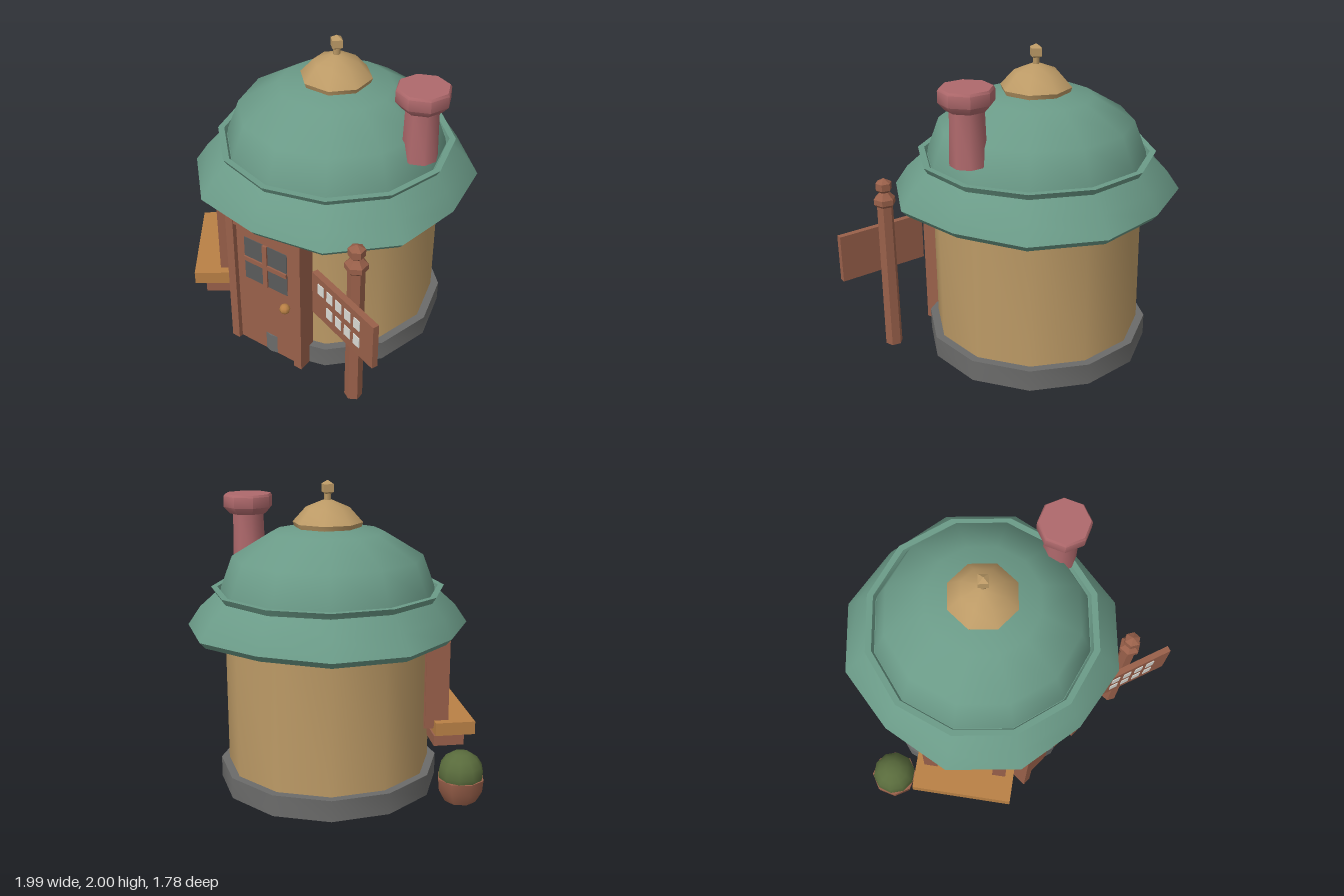
import * as THREE from 'three';
import { toCreasedNormals } from 'three/addons/utils/BufferGeometryUtils.js';

const mat = (name, color, side = THREE.FrontSide) => {
  const m = new THREE.MeshStandardMaterial({ color, side });
  m.name = name;
  return m;
};

export function createModel() {
  const model = new THREE.Group();
  model.name = 'roundCottage';
  const wall = mat('tan', 0xbc9a66), roof = mat('green', 0x6b9b88, THREE.DoubleSide);
  const wood = mat('brown', 0x99604a), ochre = mat('ochre', 0xb98045);
  const stone = mat('grey', 0x6b6b6a), glass = mat('darkGlass', 0x5a5b5b);
  const white = mat('white', 0xdcdcd6), brick = mat('rose', 0xaf696c), leaf = mat('leaf', 0x596b3c);

  const add = (parent, name, geo, material, x = 0, y = 0, z = 0) => {
    const m = new THREE.Mesh(geo, material);
    m.name = name;
    m.position.set(x, y, z);
    parent.add(m);
    return m;
  };
  // box given by its extents
  const box = (parent, name, material, x0, x1, y0, y1, z0, z1) =>
    add(parent, name, new THREE.BoxGeometry(x1 - x0, y1 - y0, z1 - z0), material,
      (x0 + x1) / 2, (y0 + y1) / 2, (z0 + z1) / 2);
  // turned shape from [radius, height] points, bottom to top
  const turned = (pts, sides, crease = 0.65, start = 0) => toCreasedNormals(
    new THREE.LatheGeometry(pts.map(p => new THREE.Vector2(...p)), sides, start), crease);

  // --- round house body ---
  const house = new THREE.Group();
  house.name = 'house';
  house.position.set(0.09, 0, -0.025);
  model.add(house);
  add(house, 'stoneBase', turned([[0, 0], [0.725, 0], [0.725, 0.14], [0.6, 0.14]], 12), stone);
  add(house, 'wall', turned([[0.672, 0.12], [0.672, 1.12]], 12), wall);

  // roof skirt: the eave corners between the axes bulge outwards
  const skirt = new THREE.LatheGeometry([
    [0.64, 1.12], [0.74, 1.08], [0.83, 1.03], [0.865, 1.07], [0.81, 1.19],
    [0.73, 1.28], [0.755, 1.32], [0.715, 1.32], [0.7, 1.28], [0.66, 1.28],
  ].map(p => new THREE.Vector2(...p)), 12);
  const pos = skirt.attributes.position;
  for (let i = 0; i < pos.count; i++) {
    const x = pos.getX(i), z = pos.getZ(i), y = pos.getY(i);
    const corner = Math.abs(Math.sin(2 * Math.atan2(x, z))) > 0.5 ? 1 : 0;
    const k = 1 + 0.053 * corner * THREE.MathUtils.clamp((1.28 - y) / 0.2, 0, 1);
    pos.setX(i, x * k);
    pos.setZ(i, z * k);
  }
  add(house, 'roofSkirt', toCreasedNormals(skirt, 0.75), roof);
  add(house, 'roofDome', turned([[0.7, 1.26], [0.69, 1.32], [0.615, 1.52], [0.36, 1.675], [0.1, 1.715], [0, 1.72]], 12, 0.85), roof);

  // roof finial
  add(house, 'finialCap', turned([[0, 1.69], [0.215, 1.705], [0.226, 1.735], [0.14, 1.83], [0.03, 1.875], [0, 1.875]], 8, 0.8, Math.PI / 8), wall);
  add(house, 'finialStem', new THREE.CylinderGeometry(0.022, 0.022, 0.08, 6), wall, 0, 1.89, 0);
  add(house, 'finialBall', toCreasedNormals(new THREE.SphereGeometry(0.052, 4, 3), 0.5), wall, 0, 1.95, 0)
    .scale.y = 0.96;

  // --- chimney ---
  add(model, 'chimneyShaft', turned([[0, 1.41], [0.112, 1.41], [0.102, 1.77]], 8, 0.9), brick, 0.725, 0, 0.025);
  add(model, 'chimneyCap', turned([[0, 1.745], [0.125, 1.745], [0.165, 1.79], [0.165, 1.86], [0.155, 1.875], [0, 1.875]], 8, 0.8), brick, 0.725, 0, 0.025);

  // --- front door ---
  const door = new THREE.Group();
  door.name = 'door';
  model.add(door);
  box(door, 'doorPanel', wood, -0.17, 0.3, 0, 0.96, 0.59, 0.688);
  box(door, 'doorFrameRight', wood, -0.22, -0.162, 0, 1.0, 0.59, 0.72);
  box(door, 'doorFrameLeft', wood, 0.292, 0.35, 0, 1.0, 0.59, 0.72);
  box(door, 'doorLintel', wood, -0.2, 0.33, 0.945, 0.995, 0.59, 0.715);
  box(door, 'doorGlass', glass, -0.1, 0.23, 0.54, 0.86, 0.686, 0.692);
  box(door, 'doorMuntinVertical', wood, 0.048, 0.082, 0.54, 0.86, 0.688, 0.703);
  box(door, 'doorMuntinHorizontal', wood, -0.1, 0.23, 0.683, 0.715, 0.688, 0.703);
  add(door, 'doorKnob', new THREE.SphereGeometry(0.035, 8, 6), ochre, 0.225, 0.45, 0.715);

  // --- bay window, local +z pointing out of the wall ---
  const bay = new THREE.Group();
  bay.name = 'bayWindow';
  bay.rotation.y = -0.945;
  house.add(bay);
  box(bay, 'bayBody', wood, -0.27, 0.27, 0.4, 1.07, 0.58, 0.7);
  box(bay, 'bayGlass', glass, -0.2, 0.2, 0.46, 1.0, 0.698, 0.704);
  for (const s of [-1, 1]) {
    box(bay, 'bayPost', wood, s * 0.235 - 0.045, s * 0.235 + 0.045, 0.42, 1.06, 0.6, 0.755);
    box(bay, 'curtain', white, s * 0.145 - 0.05, s * 0.145 + 0.05, 0.46, 1.0, 0.702, 0.709);
  }
  box(bay, 'bayTopRail', wood, -0.27, 0.27, 1.0, 1.06, 0.6, 0.75);
  box(bay, 'bayMuntinVertical', wood, -0.025, 0.025, 0.46, 1.0, 0.7, 0.73);
  for (const y of [0.65, 0.82]) box(bay, 'bayMuntinHorizontal', wood, -0.22, 0.22, y - 0.015, y + 0.015, 0.7, 0.74);
  box(bay, 'windowLedge', ochre, -0.335, 0.335, 0.37, 0.457, 0.66, 0.922);
  box(bay, 'ledgeSupport', wood, -0.33, 0.33, 0.3, 0.37, 0.65, 0.85);

  // --- signpost ---
  const sign = new THREE.Group();
  sign.name = 'signpost';
  sign.position.set(0.735, 0, 0.695);
  model.add(sign);
  add(sign, 'post', turned([[0, 0], [0.056, 0], [0.052, 1.0]], 6, 0.4), wood);
  add(sign, 'postCollar', turned([[0.05, 0.99], [0.07, 1.01], [0.07, 1.045], [0.045, 1.07], [0.03, 1.09]], 6, 0.4), wood);
  add(sign, 'postKnob', turned([[0.025, 1.08], [0.052, 1.105], [0.052, 1.15], [0, 1.18]], 6, 0.4), wood);
  const board = new THREE.Group();
  board.name = 'signBoard';
  board.position.set(-0.027, 0, 0.077);
  board.rotation.y = -0.335;
  sign.add(board);
  box(board, 'boardPlank', wood, -0.295, 0.295, 0.52, 0.83, -0.02, 0.02);
  // plain pale tiles in two rows
  for (let row = 0; row < 2; row++) for (let i = row; i < 5; i++) {
    const x = -0.203 + i * 0.0875, y = row ? 0.622 : 0.748;
    box(board, 'boardTile', white, x - 0.028, x + 0.028, y - 0.037, y + 0.037, 0.018, 0.025);
  }

  // --- potted shrub ---
  const plant = new THREE.Group();
  plant.name = 'pottedShrub';
  plant.position.set(-0.845, 0, 0.025);
  model.add(plant);
  add(plant, 'pot', turned([[0, 0], [0.105, 0], [0.148, 0.08], [0.155, 0.155], [0, 0.155]], 8, 0.85), wood);
  add(plant, 'shrub', new THREE.SphereGeometry(0.147, 10, 8), leaf, 0, 0.183, 0);

  return model;
}
